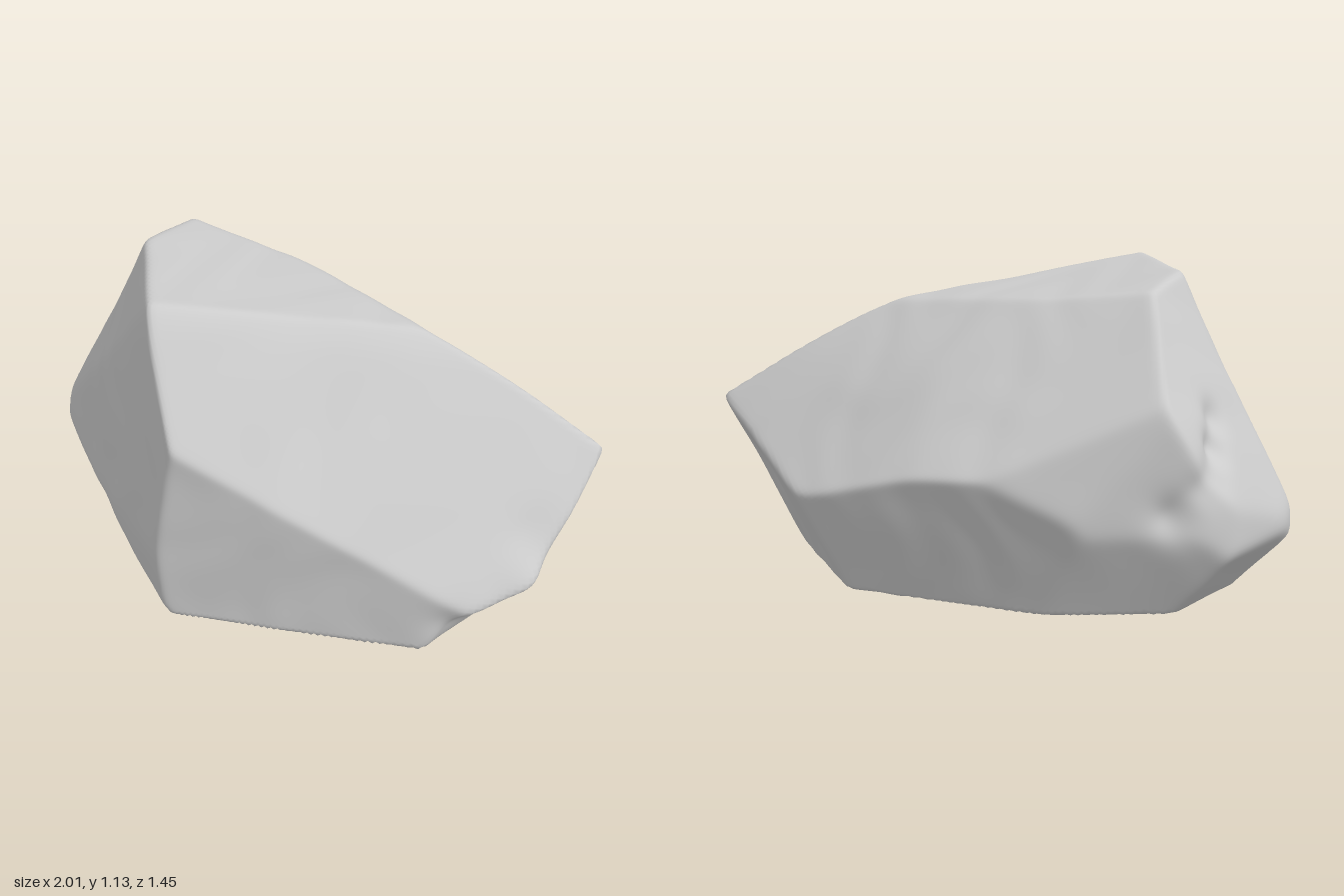
import * as THREE from 'three';
import { mergeVertices } from 'three/addons/utils/BufferGeometryUtils.js';

// Broken faces of the boulder: outward direction (x, y, z) and limit, n . p <= d
const FACES = [
  [0.07, 1, -0.15, 1.044],     // top
  [0, 1, -1, 1.205],           // back slope, upper and lower part
  [0, 1, -1.34, 1.345],
  [1, 1.28, 0.55, 1.52],       // large slope on the front left, upper and lower part
  [1, 0.88, 0.65, 1.132],
  [0.57, 0.02, 0.82, 0.597],   // wall below that slope
  [-0.36, 0.16, 0.93, 0.752],  // front
  [-0.25, 0.14, 0.97, 0.745],  // narrow band beside the front edge
  [-0.25, -0.05, 0.97, 0.69],
  [-0.819, 0.556, 1, 1.335],   // upper front shoulder
  [-1, 0.523, 0.149, 1.2],     // right end
  [-1, 0, 0, 1.005],
  [-0.9, 0, 0.4, 1.02],
  [-0.9, 0, -0.45, 0.93],
  [-0.229, 0.803, -1, 1.05],   // back right
  [-0.45, 0.2, -0.85, 0.745],
  [-0.65, 0, -0.76, 0.755],
  [-0.28, -0.3, -0.96, 0.51],
  [0, -0.33, -1, 0.62],        // back
  [0.5, -0.5, -0.86, 0.65],    // back left
  [0.85, -0.4, -0.45, 0.815],
  [1, 0, 0, 0.985],            // left end
  [1, -0.75, 0, 0.79],         // undercuts
  [-1, -0.9, 0, 0.79],
  [-0.65, -0.5, -0.76, 0.6],
  [-0.45, -0.8, 0.9, 0.62],
];

// Hollows and bulges: centre, radius, depth
const DENTS = [
  [0.82, 0.32, -0.58, 0.12, 0.04],   // hollow at the back left corner
  [0.9, 0.1, 0.12, 0.1, 0.04],       // notch under the left end
  [0.97, 0.42, -0.2, 0.1, 0.025],
  [0.98, 0.27, -0.12, 0.08, -0.03],
  [-0.84, 0.66, 0.04, 0.06, 0.03],   // groove down the right end
  [-0.88, 0.57, -0.04, 0.06, 0.05],
  [-0.91, 0.48, -0.13, 0.07, 0.05],
  [-0.88, 0.38, -0.22, 0.08, 0.04],
  [-0.5, 0.08, 0.55, 0.13, 0.02],    // hollow under the front
];

// Gentle surface unevenness
function ripple({ x, y, z }) {
  return 0.004 * Math.sin(5 * x + 2 * Math.sin(4 * z + 3 * y)) * Math.sin(6 * y - 4 * z + 1)
    + 0.0025 * Math.sin(12 * x + 2 * Math.sin(9 * y)) * Math.sin(11 * z + 2 * Math.sin(10 * x) + 7 * y);
}

function boulderGeometry() {
  let geometry = new THREE.IcosahedronGeometry(1, 68);
  geometry.deleteAttribute('normal');
  geometry.deleteAttribute('uv');
  geometry = mergeVertices(geometry, 1e-5);

  const centre = new THREE.Vector3(0, 0.42, 0);
  const faces = FACES.map(([x, y, z, d]) => {
    const n = new THREE.Vector3(x, y, z);
    return { n, d: d - n.dot(centre) };
  });
  const position = geometry.attributes.position;
  const dir = new THREE.Vector3();
  const p = new THREE.Vector3();
  const c = new THREE.Vector3();
  const sharpness = 100;

  for (let i = 0; i < position.count; i++) {
    dir.fromBufferAttribute(position, i).normalize();
    // Softly rounded intersection of all faces along this direction
    let sum = 0;
    for (const { n, d } of faces) sum += Math.max(0, n.dot(dir) / d) ** sharpness;
    let r = sum ** (-1 / sharpness);
    p.copy(dir).multiplyScalar(r).add(centre);
    r += ripple(p);
    for (const [x, y, z, radius, depth] of DENTS) {
      const q = p.distanceToSquared(c.set(x, y, z)) / (radius * radius);
      r -= depth * Math.exp(-q);
    }
    // Flat underside
    if (dir.y < 0) r = Math.min(r, -centre.y / dir.y);
    p.copy(dir).multiplyScalar(r).add(centre);
    position.setXYZ(i, p.x, p.y, p.z);
  }
  geometry.computeVertexNormals();
  return geometry;
}

export function createModel() {
  const group = new THREE.Group();
  group.name = 'rock';
  const boulder = new THREE.Mesh(
    boulderGeometry(),
    new THREE.MeshStandardMaterial({ color: 0xcccccc }),
  );
  boulder.name = 'boulder';
  group.add(boulder);
  return group;
}
